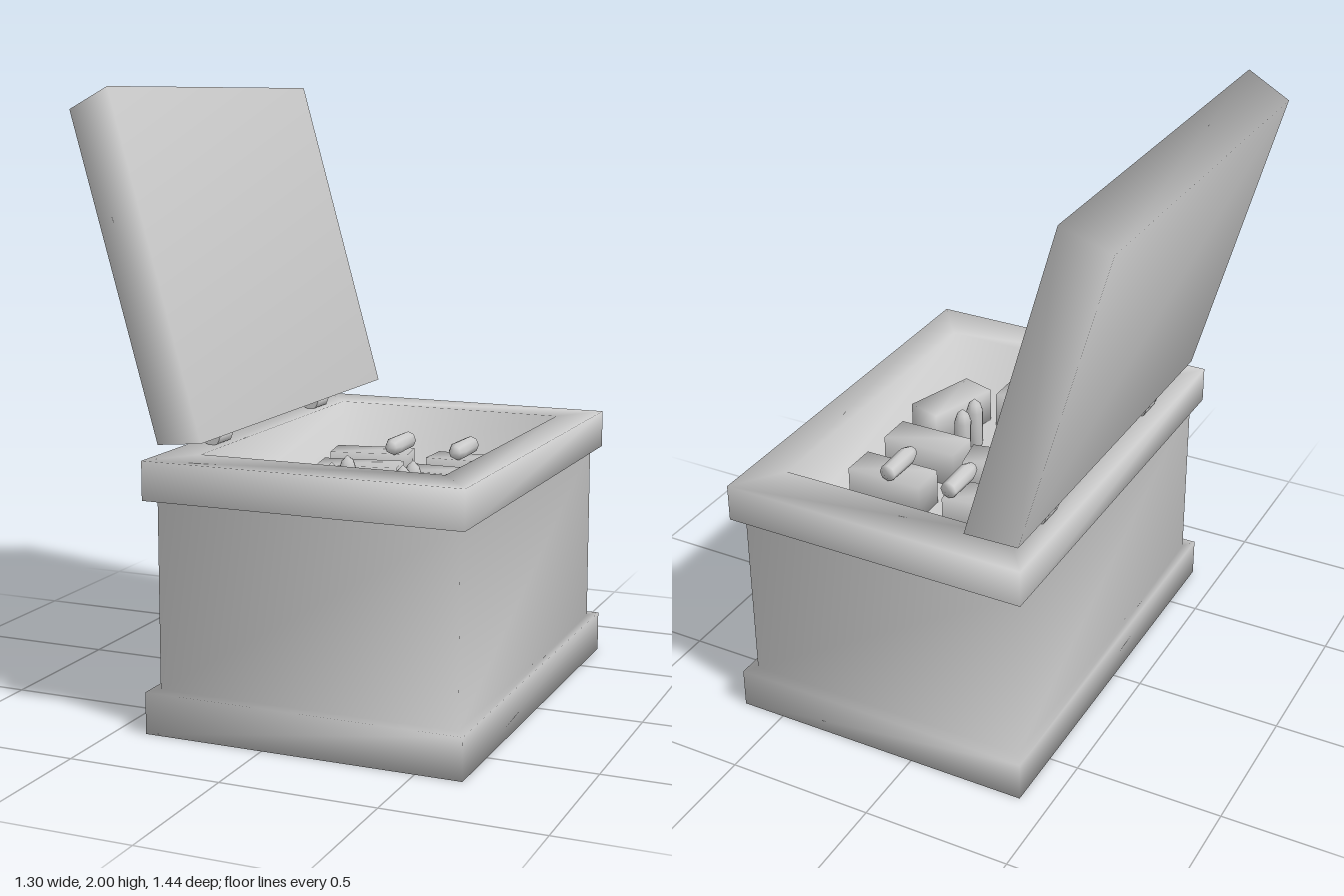
import * as THREE from 'three';
import { mergeVertices } from 'three/addons/utils/BufferGeometryUtils.js';

const mat = new THREE.MeshStandardMaterial({ color: 0xcccccc });

// Weld corners so normals blend softly across edges
function soften(geometry) {
  geometry.deleteAttribute('normal');
  geometry.deleteAttribute('uv');
  const g = mergeVertices(geometry);
  g.computeVertexNormals();
  return g;
}

// Closed loft through rectangular sections [halfX, halfZ, y]
function loftRects(sections) {
  const pos = [], idx = [];
  for (const [hx, hz, y] of sections) pos.push(hx, y, hz, hx, y, -hz, -hx, y, -hz, -hx, y, hz);
  for (let s = 0; s < sections.length - 1; s++) {
    for (let i = 0; i < 4; i++) {
      const a = s * 4 + i, b = s * 4 + (i + 1) % 4;
      idx.push(a, b, b + 4, a, b + 4, a + 4);
    }
  }
  const t = (sections.length - 1) * 4;
  idx.push(0, 2, 1, 0, 3, 2, t, t + 1, t + 2, t, t + 2, t + 3);
  const g = new THREE.BufferGeometry();
  g.setAttribute('position', new THREE.Float32BufferAttribute(pos, 3));
  g.setIndex(idx);
  g.computeVertexNormals();
  return g;
}

export function createModel() {
  const model = new THREE.Group();
  model.name = 'openCrate';
  const add = (name, geometry, x, y, z) => {
    const mesh = new THREE.Mesh(geometry, mat);
    mesh.name = name;
    mesh.position.set(x, y, z);
    model.add(mesh);
    return mesh;
  };
  const floorY = 0.64;

  // Crate: plinth, recessed walls, rim and sunken tray
  add('crateBody', loftRects([
    [0.525, 0.718, 0], [0.525, 0.718, 0.135],
    [0.495, 0.673, 0.135], [0.495, 0.673, 0.745],
    [0.525, 0.718, 0.745], [0.525, 0.718, 0.87],
    [0.405, 0.555, 0.87], [0.405, 0.555, floorY],
  ]), 0.125, 0, 0);

  // Lid: slab tapering to its outer face, tipped back
  const lid = add('lid', loftRects([[0.553, 0.703, 0], [0.528, 0.67, 0.166]]), -0.35, 1.4675, 0.003);
  lid.rotation.z = Math.atan2(1.065, -0.3);

  // Hinge barrels
  const hingeGeo = new THREE.CylinderGeometry(0.03, 0.03, 0.093, 8);
  for (const z of [0.35, -0.41]) add('hinge', hingeGeo, -0.325, 0.895, z).rotation.x = Math.PI / 2;

  // Small cartons: x, z, turn
  const cartonGeo = soften(new THREE.BoxGeometry(0.27, 0.125, 0.125));
  for (const [x, z, turn] of [
    [-0.03, -0.235, 0.2], [0.02, -0.005, 0.19], [0.325, -0.238, 0],
    [0.325, -0.003, 0], [0.125, 0.44, 0], [0.393, 0.29, 1.27],
  ]) add('carton', cartonGeo, x, floorY + 0.0625, z).rotation.y = turn;

  // Cartridges
  const profile = [[0, 0], [0.029, 0], [0.031, 0.13], [0.021, 0.16], [0, 0.18]];
  const roundGeo = soften(new THREE.LatheGeometry(profile.map(([r, y]) => new THREE.Vector2(r, y)), 8));

  // Standing upright
  for (const [x, z] of [[0.04, 0.145], [0.268, 0.145], [0.042, 0.277], [0.267, 0.23]])
    add('uprightCartridge', roundGeo, x, floorY, z);

  // Lying down, on the floor or on top of cartons: x, y, z of the base, turn
  for (const [x, y, z, turn] of [
    [-0.068, floorY + 0.03, -0.523, 0.1], [0.16, floorY + 0.03, -0.547, 0.09],
    [0.072, 0.795, -0.31, 0], [0.302, 0.795, -0.31, 0],
  ]) add('lyingCartridge', roundGeo, x, y, z).rotation.set(Math.PI / 2, turn, 0, 'YXZ');

  return model;
}
